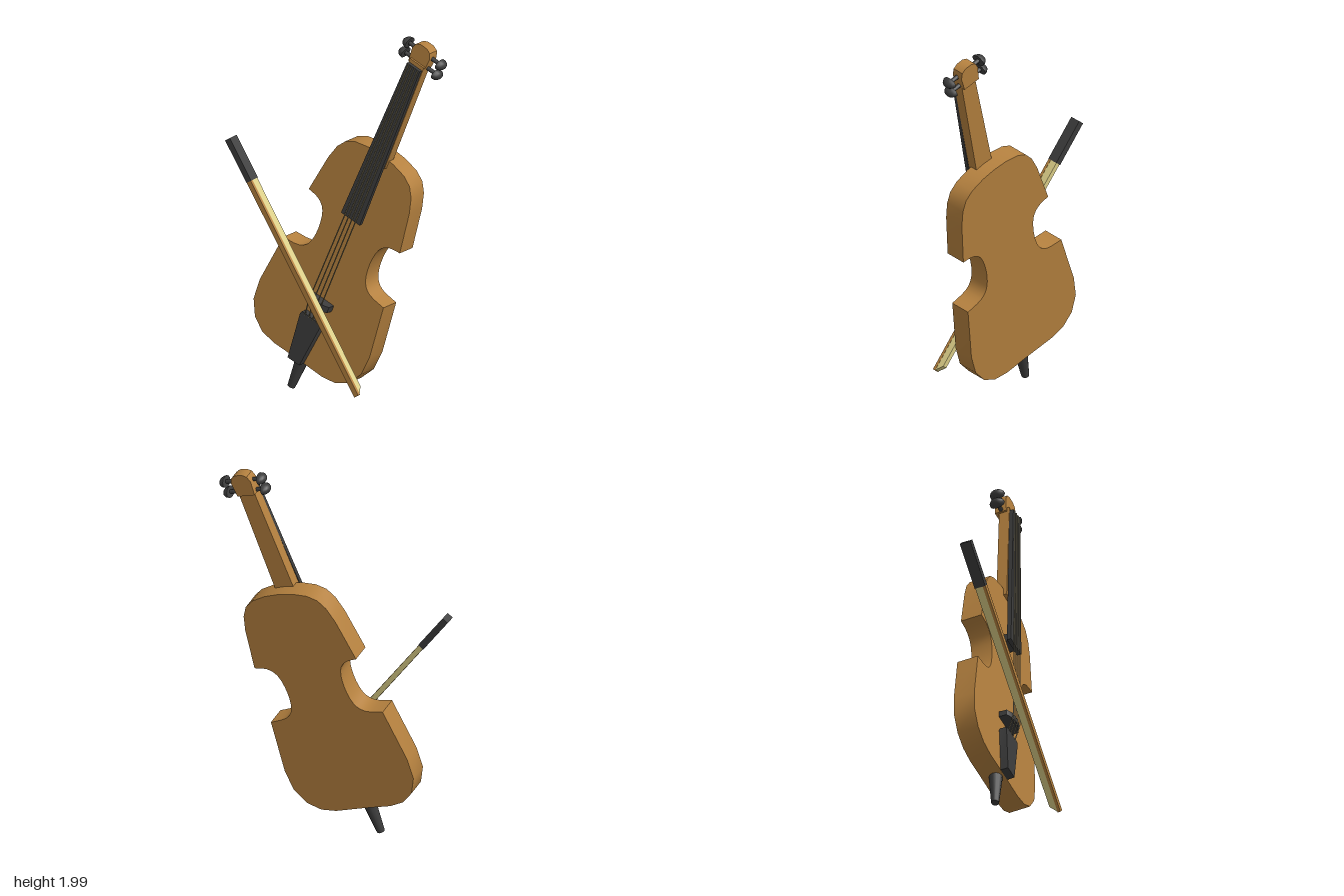
import * as THREE from 'three';
import { toCreasedNormals } from 'three/addons/utils/BufferGeometryUtils.js';

const material = (color) => new THREE.MeshStandardMaterial({ color });
const wood = material(0xb5813f);
const ebony = material(0x3c3c3c);
const hairMat = material(0xdccf88);
const stringMat = material(0x857b5c);

function add(parent, name, geometry, mat, x = 0, y = 0, z = 0) {
  const mesh = new THREE.Mesh(geometry, mat);
  mesh.name = name;
  mesh.position.set(x, y, z);
  parent.add(mesh);
  return mesh;
}

// Extruded outline, from z = 0 to z = depth
function plate(points, depth) {
  const shape = new THREE.Shape(points.map(([x, y]) => new THREE.Vector2(x, y)));
  const geometry = new THREE.ExtrudeGeometry(shape, { depth, bevelEnabled: false });
  return toCreasedNormals(geometry, 0.6);
}

// Outline mirrored across x = 0, from its right half listed bottom to top
const mirrored = (half) => [...half, ...half.filter((p) => p[0] > 0).reverse().map(([x, y]) => [-x, y])];

const taper = (w0, w1, length, depth) => plate(mirrored([[w0, 0], [w1, length]]), depth);

// Cylinder between two points
function rod(a, b, radius) {
  const dir = b.clone().sub(a);
  const geometry = new THREE.CylinderGeometry(radius, radius, dir.length(), 6);
  geometry.applyQuaternion(new THREE.Quaternion().setFromUnitVectors(new THREE.Vector3(0, 1, 0), dir.normalize()));
  const mid = a.clone().add(b).multiplyScalar(0.5);
  return geometry.translate(mid.x, mid.y, mid.z);
}

function orient(group, x, y, z) {
  group.quaternion.setFromRotationMatrix(new THREE.Matrix4().makeBasis(x, y, z));
}

// Local frame: y runs along the neck, z = 0 is the soundboard
function buildInstrument() {
  const g = new THREE.Group();
  g.name = 'instrument';

  // Body with the waist cut in on both sides
  const waist = new THREE.SplineCurve([
    [0.328, 0.72], [0.231, 0.735], [0.182, 0.785], [0.168, 0.88], [0.184, 0.975], [0.23, 1.02], [0.298, 1.032],
  ].map(([x, y]) => new THREE.Vector2(x, y))).getPoints(18).map((p) => [p.x, p.y]);
  const half = [
    [0, 0.19], [0.16, 0.188], [0.24, 0.203], [0.307, 0.248], [0.352, 0.33], [0.36, 0.44],
    ...waist,
    [0.265, 1.25], [0.242, 1.33], [0.21, 1.38], [0.16, 1.411], [0.08, 1.43], [0, 1.435],
  ];
  add(g, 'body', plate(mirrored(half), 0.112), wood, 0, 0, -0.112);

  // Neck and rounded head
  add(g, 'neck', taper(0.054, 0.045, 0.61, 0.056), wood, 0, 1.39, -0.038);
  const head = mirrored([[0.05, 0], [0.057, 0.075], [0.045, 0.105], [0.02, 0.118]]);
  add(g, 'head', plate(head, 0.062), wood, -0.005, 1.975, -0.056);

  // Fingerboard, sloping down to the head, and its foot
  add(g, 'fingerboard', taper(0.061, 0.042, 0.92, 0.022), ebony, 0, 1.06, 0.029).rotation.x = -0.014;
  add(g, 'fingerboardFoot', new THREE.BoxGeometry(0.08, 0.05, 0.036), ebony, 0, 1.1, 0.015);

  // Bridge with an arched top
  const arch = [[-0.072, 0], [0.072, 0], [0.07, 0.04], [0.04, 0.057], [0, 0.062], [-0.04, 0.057], [-0.07, 0.04]];
  add(g, 'bridge', plate(arch, 0.034).rotateX(Math.PI / 2).scale(1, 1, 1), ebony, 0, 0.563, 0);

  // Tailpiece and end pin
  const tail = mirrored([[0.038, 0], [0.066, 0.25], [0.06, 0.265]]);
  add(g, 'tailpiece', plate(tail, 0.04), ebony, 0, 0.19, 0);
  add(g, 'endPin', new THREE.CylinderGeometry(0.036, 0.02, 0.19, 12), ebony, 0, 0.109, -0.045);

  // Four strings, bent over the bridge
  for (let i = 0; i < 4; i++) {
    const k = (i - 1.5) / 1.5;
    const start = new THREE.Vector3(k * 0.038, 0.44, 0.036);
    const bend = new THREE.Vector3(k * 0.037, 0.546, 0.064);
    const end = new THREE.Vector3(k * 0.029, 1.978, 0.041);
    add(g, 'stringTail', rod(start, bend, 0.003), stringMat);
    add(g, 'string', rod(bend, end, 0.003), stringMat);
  }

  // Pegs: a shaft with a domed grip, two on each side
  for (const side of [-1, 1]) {
    for (const y of [1.988, 2.047]) {
      const peg = new THREE.Group();
      peg.name = 'peg';
      peg.position.set(0, y, -0.022);
      peg.rotation.z = -side * Math.PI / 2;
      add(peg, 'pegShaft', new THREE.CylinderGeometry(0.011, 0.011, 0.1, 8), ebony, 0, 0.06, 0);
      const dome = new THREE.SphereGeometry(1, 12, 5, 0, Math.PI * 2, 0, Math.PI / 2).scale(0.028, 0.036, 0.04);
      add(peg, 'pegGrip', dome, ebony, 0, 0.098, 0);
      const base = new THREE.CircleGeometry(1, 12).rotateX(Math.PI / 2).scale(0.028, 1, 0.04);
      add(peg, 'pegGripBase', base, ebony, 0, 0.098, 0);
      g.add(peg);
    }
  }

  // Lean back and tilt to one side
  const normal = new THREE.Vector3(-0.028, 0.129, 1).normalize();
  const up = new THREE.Vector3(0.322, 0.947, -0.1132).normalize();
  orient(g, up.clone().cross(normal), up, normal);
  g.position.set(-0.208, 0, 0.09);
  g.scale.y = 1.006;
  return g;
}

// Local frame: x runs from grip to tip, y = 0 is the outer face of the stick
function buildBow() {
  const g = new THREE.Group();
  g.name = 'bow';
  const strip = (name, points, width, mat) => add(g, name, plate(points, width), mat, 0, 0, -width / 2);
  strip('bowGrip', [[0, -0.058], [0.236, -0.058], [0.236, 0], [0, 0]], 0.034, ebony);
  strip('bowStick', [[0.236, -0.015], [1.425, -0.015], [1.425, 0], [0.236, 0]], 0.029, wood);
  strip('bowHair', [[0.236, -0.056], [1.388, -0.048], [1.422, -0.015], [0.236, -0.015]], 0.027, hairMat);

  const along = new THREE.Vector3(0.852, -1.135, 0.135).normalize();
  const out = new THREE.Vector3(0, 0, 1).addScaledVector(along, -along.z).normalize();
  orient(g, along, out, along.clone().cross(out));
  g.position.set(-0.567, 1.28, 0.065);
  return g;
}

export function createModel() {
  const model = new THREE.Group();
  model.name = 'violinWithBow';
  model.add(buildInstrument(), buildBow());
  return model;
}
